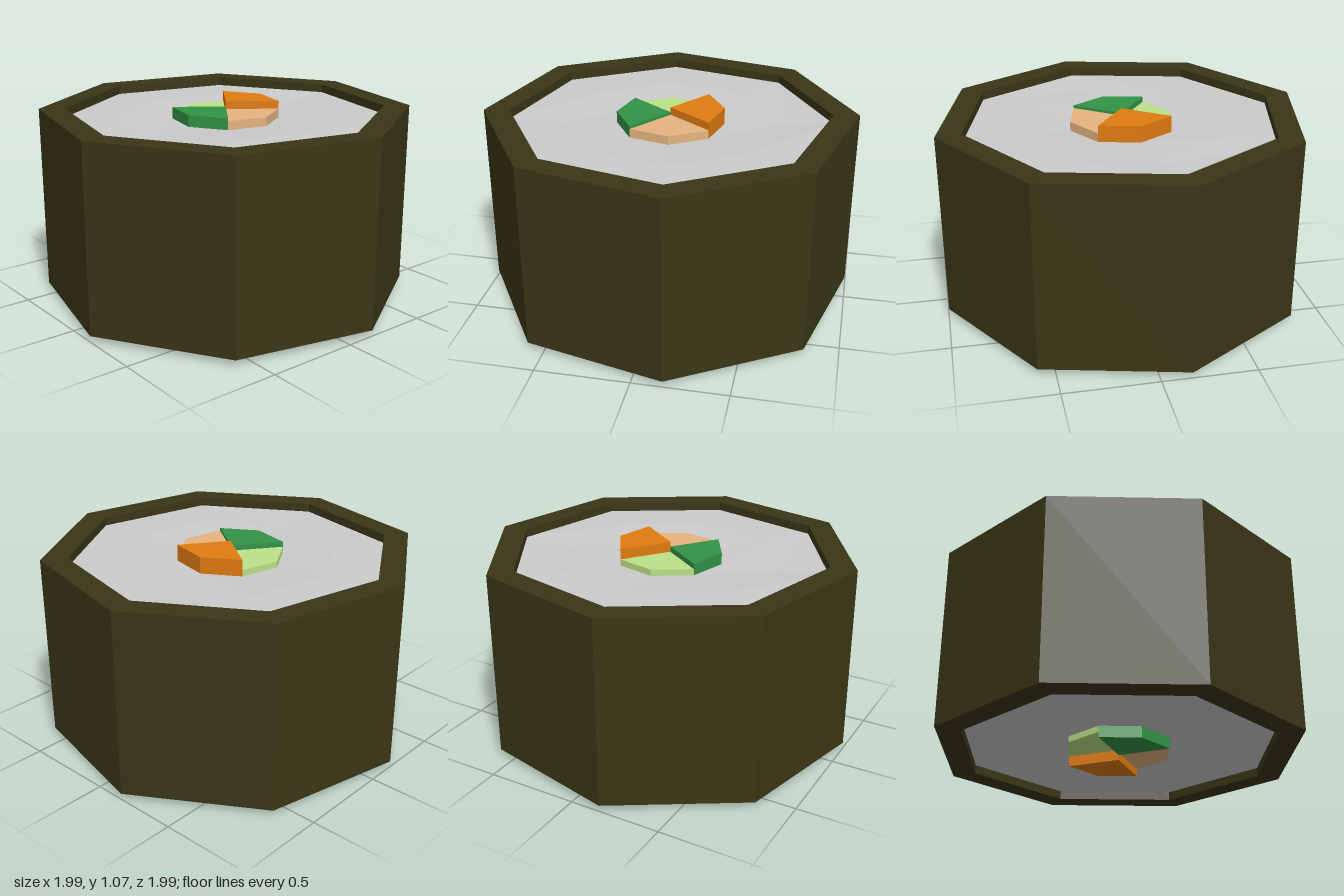
import * as THREE from 'three';

const SIDES = 8;
const STEP = Math.PI / 4;
const START = THREE.MathUtils.degToRad(9.2); // twist of the octagon
const MID = 0.535; // height of the horizontal mirror plane

function part(name, geometry, color) {
  const flat = geometry.index ? geometry.toNonIndexed() : geometry;
  flat.computeVertexNormals();
  const mesh = new THREE.Mesh(flat, new THREE.MeshStandardMaterial({ color, flatShading: true }));
  mesh.name = name;
  return mesh;
}

// Eight-sided solid of revolution from [radius, height] pairs
function octagon(profile) {
  return new THREE.LatheGeometry(profile.map(([r, y]) => new THREE.Vector2(r, y)), SIDES, START, Math.PI * 2);
}

// Rice core: shallow dish on both ends, with two dips in the middle ring
function riceGeometry() {
  const h = 0.46;
  const half = [[0, h - 0.015], [0.29, h - 0.015], [0.58, h], [0.87, h - 0.003]];
  const bottom = half.map(([r, y]) => [r, MID - y]);
  const top = half.map(([r, y]) => [r, MID + y]).reverse();
  const geometry = octagon([...bottom, ...top]);
  const pos = geometry.attributes.position;
  for (let i = 0; i < pos.count; i++) {
    const x = pos.getX(i), y = pos.getY(i), z = pos.getZ(i);
    const middleRing = Math.abs(Math.hypot(x, z) - 0.58) < 0.01;
    if (middleRing && Math.abs(x) > 0.55) pos.setY(i, y - Math.sign(y - MID) * 0.016);
  }
  return geometry;
}

// Quarter of the filling, running right through the roll
function wedgeGeometry(quarter, top) {
  const shape = new THREE.Shape();
  shape.moveTo(0, 0);
  for (let k = 0; k < 3; k++) {
    const a = START + (quarter * 2 + 1 + k) * STEP;
    shape.lineTo(0.29 * Math.sin(a), -0.29 * Math.cos(a));
  }
  const depth = 2 * (top - MID);
  const geometry = new THREE.ExtrudeGeometry(shape, { depth, bevelEnabled: false });
  return geometry.rotateX(-Math.PI / 2).translate(0, MID - depth / 2, 0);
}

export function createModel() {
  const group = new THREE.Group();
  group.name = 'riceRoll';

  // Seaweed wrapper with raised rims
  const [y0, y1] = [0.03, 1.04];
  const wrapper = octagon([[1.01, y0], [1.01, y1], [0.87, y1], [0.87, y0], [1.01, y0]]);
  group.add(part('seaweedWrapper', wrapper, 0x3a3617));

  group.add(part('rice', riceGeometry(), 0xcccccc));

  // Four fillings, each a little different in length
  const fillings = [
    ['orangeFilling', 1.07, 0xe07b10],
    ['paleGreenFilling', 1.014, 0xbce187],
    ['greenFilling', 1.043, 0x339347],
    ['tanFilling', 1.028, 0xe6b481],
  ];
  fillings.forEach(([name, top, color], i) => group.add(part(name, wedgeGeometry(i, top), color)));

  return group;
}
